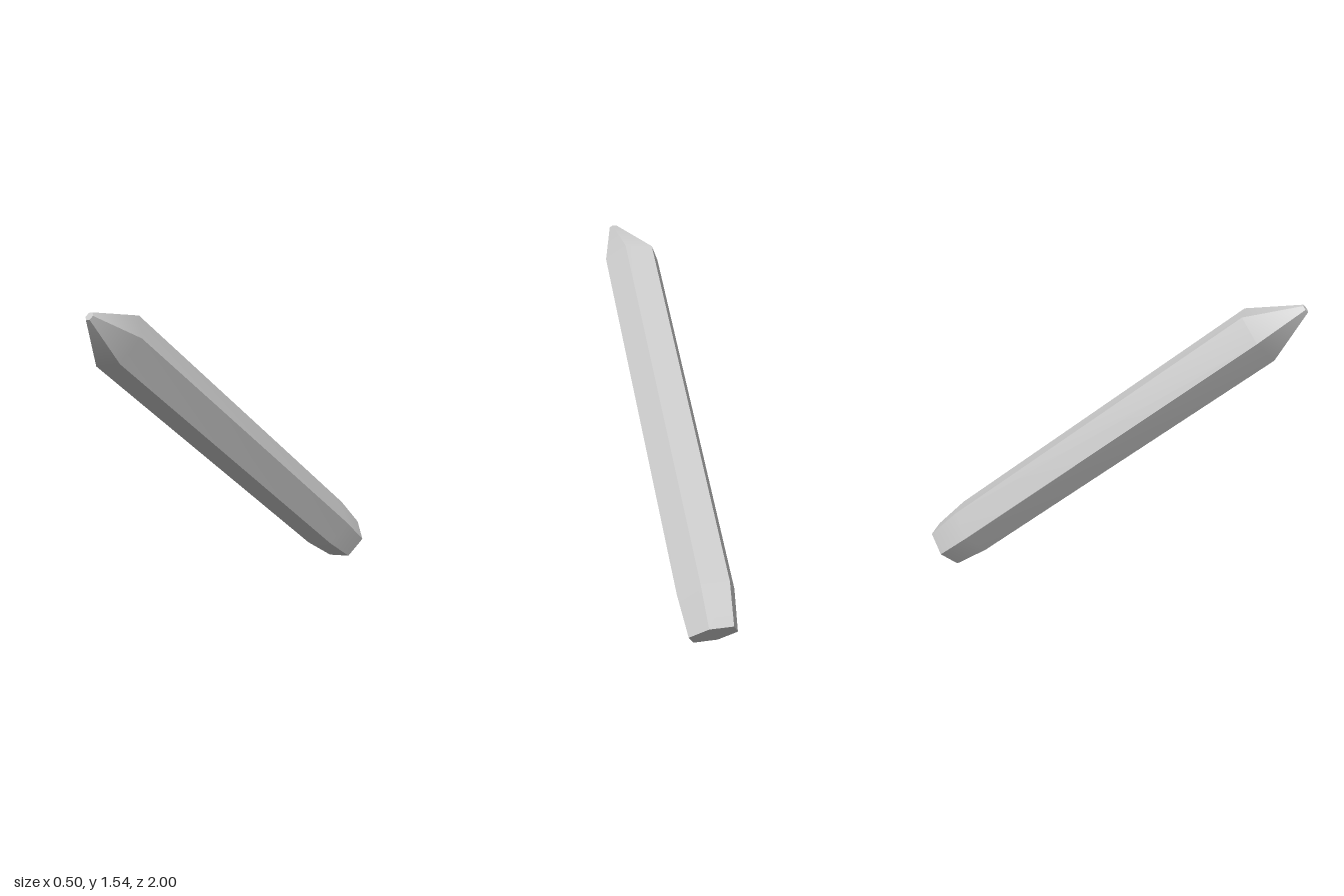
import * as THREE from 'three';

const SIDES = 6;

// Frame of the leaning crystal: long axis and two directions across it
const axis = new THREE.Vector3(0.2, 1.17, 1.54).normalize();
const across = new THREE.Vector3(-0.1475, -0.02, 0.035);
across.addScaledVector(axis, -across.dot(axis)).normalize();
const up = new THREE.Vector3().crossVectors(axis, across);

// Cross-sections from the base to the off-centre point: centre and radius
const rings = [
  { c: [-0.115, 0.1, -0.925], r: 0.129 },
  { c: [-0.102, 0.23, -0.755], r: 0.153 },
  { c: [0.098, 1.4, 0.785], r: 0.153 },
  { c: [0.183, 1.527, 0.985], r: 0.023 },
];

function corner({ c, r }, k) {
  const a = (k / SIDES) * Math.PI * 2;
  return new THREE.Vector3(...c)
    .addScaledVector(across, r * Math.cos(a))
    .addScaledVector(up, r * Math.sin(a));
}

function geometryFrom(points, index) {
  const g = new THREE.BufferGeometry().setFromPoints(points);
  g.setIndex(index);
  g.computeVertexNormals();
  return g;
}

// Each long face has its own vertices: sharp between faces, smooth along them
function facetGeometry() {
  const points = [];
  const index = [];
  for (let k = 0; k < SIDES; k++) {
    const start = points.length;
    for (const ring of rings) points.push(corner(ring, k), corner(ring, k + 1));
    for (let i = 0; i < rings.length - 1; i++) {
      const a = start + i * 2;
      index.push(a, a + 1, a + 3, a, a + 3, a + 2);
    }
  }
  return geometryFrom(points, index);
}

// Flat hexagon closing one end
function capGeometry(ring, flip) {
  const points = [];
  const index = [];
  for (let k = 0; k < SIDES; k++) points.push(corner(ring, k));
  for (let k = 1; k < SIDES - 1; k++) {
    index.push(0, flip ? k + 1 : k, flip ? k : k + 1);
  }
  return geometryFrom(points, index);
}

export function createModel() {
  const model = new THREE.Group();
  model.name = 'crystal';
  const stone = new THREE.MeshStandardMaterial({ color: 0xcccccc });
  stone.name = 'pale grey stone';

  const add = (name, geometry) => {
    const mesh = new THREE.Mesh(geometry, stone);
    mesh.name = name;
    model.add(mesh);
  };
  add('crystalFacets', facetGeometry());
  add('baseCap', capGeometry(rings[0], true));
  add('tipCap', capGeometry(rings[rings.length - 1], false));
  return model;
}
